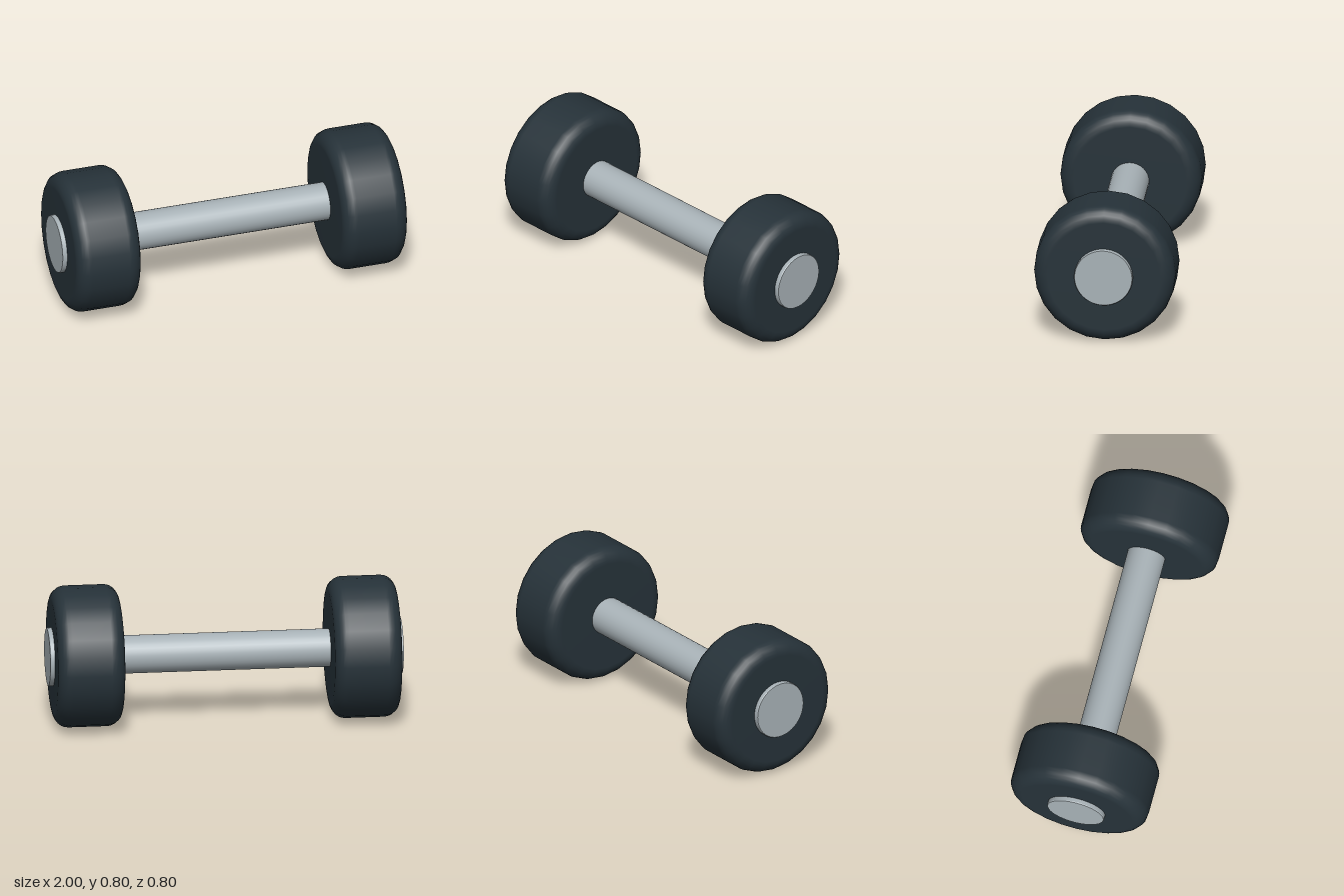
import * as THREE from 'three';

const AXIS_Y = 0.4;

// Solid of revolution with rounded rims, centred on its own axis (y)
function roundedDisc(radius, length, fillet, sides, steps) {
  const h = length / 2;
  const points = [new THREE.Vector2(0, -h)];
  for (const end of [-1, 1]) {
    for (let i = 0; i <= steps; i++) {
      const t = (end < 0 ? i : steps - i) / steps * Math.PI / 2;
      points.push(new THREE.Vector2(
        radius - fillet + fillet * Math.sin(t),
        end * (h - fillet + fillet * Math.cos(t))));
    }
  }
  points.push(new THREE.Vector2(0, h));
  return new THREE.LatheGeometry(points, sides);
}

export function createModel() {
  const rubber = new THREE.MeshStandardMaterial({ color: 0x263239 });
  rubber.name = 'dark rubber';
  const steel = new THREE.MeshStandardMaterial({ color: 0xa8b2b7 });
  steel.name = 'grey steel';

  const model = new THREE.Group();
  model.name = 'dumbbell';

  // Lays a part along x, centred at the given x
  const add = (name, geometry, material, x) => {
    const mesh = new THREE.Mesh(geometry, material);
    mesh.name = name;
    mesh.rotation.z = x < 0 ? Math.PI / 2 : -Math.PI / 2;
    mesh.position.set(x, AXIS_Y, 0);
    model.add(mesh);
  };

  // Grip bar, running into both weights
  add('handle', new THREE.CylinderGeometry(0.108, 0.108, 1.24, 32), steel, 0);

  // Weights with soft rims, and the steel discs on their outer faces
  const weight = roundedDisc(0.4, 0.38, 0.08, 24, 6);
  const cap = new THREE.CylinderGeometry(0.162, 0.165, 0.005, 48);
  const capRim = new THREE.CylinderGeometry(0.165, 0.165, 0.035, 48, 1, true);
  for (const [side, sign] of [['left', 1], ['right', -1]]) {
    add(side + 'Weight', weight, rubber, sign * 0.784);
    add(side + 'EndCap', cap, steel, sign * 0.9975);
    add(side + 'EndCapRim', capRim, steel, sign * 0.9775);
  }
  return model;
}
